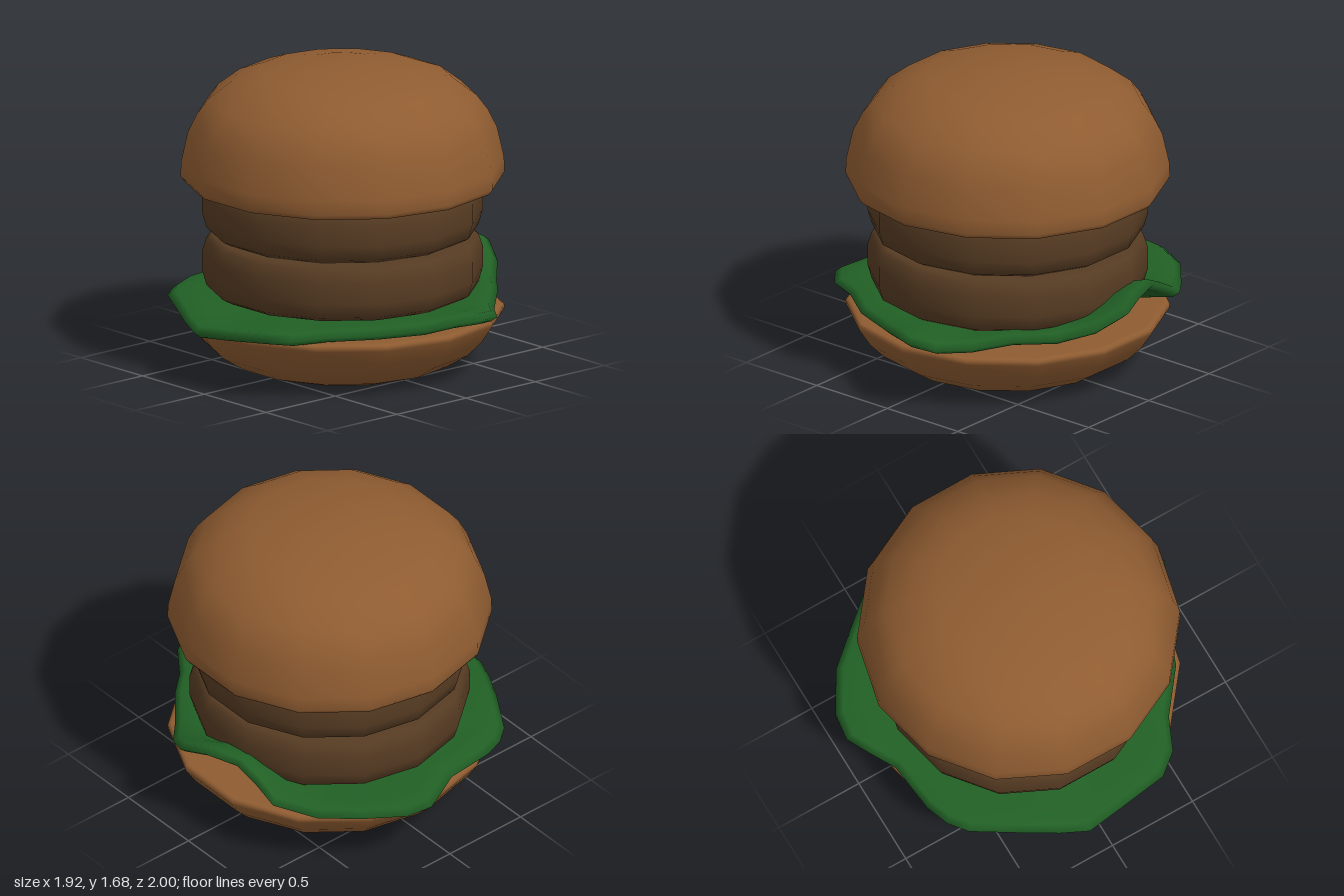
import * as THREE from 'three';

const SIDES = 14;
const material = (name, color) => {
  const m = new THREE.MeshStandardMaterial({ color });
  m.name = name;
  return m;
};

// Round layer from a [radius, height] profile, listed bottom to top
function layer(name, profile, mat) {
  const points = profile.map(([r, y]) => new THREE.Vector2(r, y));
  const mesh = new THREE.Mesh(new THREE.LatheGeometry(points, SIDES), mat);
  mesh.name = name;
  return mesh;
}

// Wavy leaf: concentric rings that run over the top, round the rim and back underneath
function leafGeometry(rim) {
  const rings = [ // share of rim radius, share of rim height, vertical offset
    [0.3, 0, 0.025], [0.65, 0.4, 0.025], [0.85, 0.85, 0.03], [0.96, 1, 0.03],
    [1, 1, 0], [0.96, 1, -0.03], [0.85, 0.85, -0.03], [0.65, 0.4, -0.025], [0.3, 0, -0.025],
  ];
  const base = 0.375, n = rim.length;
  const positions = [0, base + 0.025, 0], index = [];
  for (const [k, h, dy] of rings) {
    for (const [x, z, y] of rim) positions.push(x * k, base + (y - base) * h + dy, z * k);
  }
  positions.push(0, base - 0.025, 0);
  const last = positions.length / 3 - 1;
  for (let i = 0; i < n; i++) {
    const j = (i + 1) % n;
    index.push(0, 1 + i, 1 + j);
    for (let r = 0; r < rings.length - 1; r++) {
      const a = 1 + r * n + i, b = 1 + r * n + j;
      index.push(a, a + n, b, b, a + n, b + n);
    }
    const start = 1 + (rings.length - 1) * n;
    index.push(start + i, last, start + j);
  }
  const g = new THREE.BufferGeometry();
  g.setAttribute('position', new THREE.Float32BufferAttribute(positions, 3));
  g.setIndex(index);
  g.computeVertexNormals();
  return g;
}

export function createModel() {
  const bun = material('bun brown', 0x8f5c31);
  const meat = material('patty brown', 0x573c23);
  const green = material('lettuce green', 0x216025);
  const burger = new THREE.Group();
  burger.name = 'burger';

  // Buns
  burger.add(layer('bottomBun', [
    [0, 0], [0.5, 0], [0.61, 0.035], [0.73, 0.11], [0.81, 0.19], [0.873, 0.285],
    [0.875, 0.31], [0.86, 0.32], [0.84, 0.322], [0, 0.322],
  ], bun));
  burger.add(layer('topBun', [
    [0, 1.02], [0.84, 1.02], [0.855, 1.022], [0.875, 1.05], [0.873, 1.13], [0.835, 1.3], [0.785, 1.4],
    [0.725, 1.48], [0.6, 1.575], [0.45, 1.63], [0.2, 1.675], [0, 1.678],
  ], bun));

  // Two stacked patties
  const pattyProfile = [
    [0, 0], [0.68, 0], [0.735, 0.03], [0.758, 0.11], [0.758, 0.225], [0.735, 0.295], [0.7, 0.32], [0, 0.32],
  ];
  [['lowerPatty', 0.41], ['upperPatty', 0.732]].forEach(([name, y]) => {
    const patty = layer(name, pattyProfile, meat);
    patty.position.y = y;
    burger.add(patty);
  });

  // Lettuce rim as [x, z, height], running from the front round to the model's left
  const rim = [
    [0.14, 0.995, 0.41], [0.28, 0.94, 0.39], [0.4, 0.78, 0.38], [0.57, 0.62, 0.42], [0.73, 0.43, 0.41],
    [0.88, 0.27, 0.46], [0.955, 0.12, 0.53], [0.91, -0.03, 0.565], [0.84, -0.22, 0.56],
    [0.82, -0.35, 0.5], [0.81, -0.48, 0.43], [0.66, -0.67, 0.38], [0.5, -0.85, 0.4],
    [0.28, -0.98, 0.385], [0.13, -1, 0.385], [0, -0.93, 0.375], [-0.14, -0.85, 0.365],
    [-0.42, -0.82, 0.36], [-0.55, -0.77, 0.35], [-0.65, -0.69, 0.35], [-0.8, -0.45, 0.35],
    [-0.9, -0.27, 0.33], [-0.965, -0.12, 0.31], [-0.94, 0.1, 0.33], [-0.91, 0.37, 0.36],
    [-0.81, 0.49, 0.355], [-0.63, 0.57, 0.36], [-0.4, 0.75, 0.37], [-0.14, 0.85, 0.37], [0, 0.935, 0.4],
  ];
  const lettuce = new THREE.Mesh(leafGeometry(rim), green);
  lettuce.name = 'lettuce';
  burger.add(lettuce);
  return burger;
}
